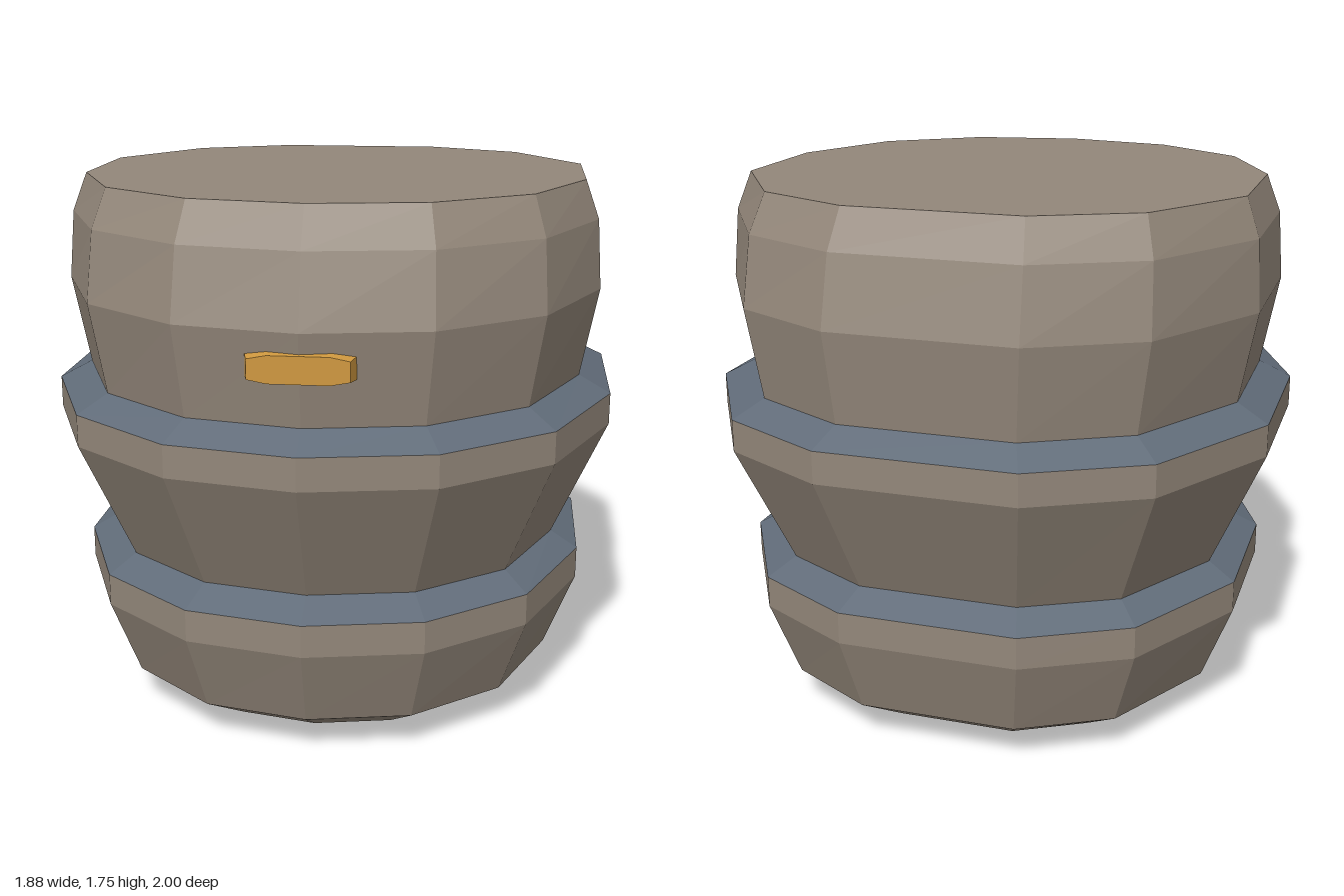
import * as THREE from 'three';

const wood = new THREE.MeshStandardMaterial({ color: 0x93877a });
wood.name = 'wood';
const iron = new THREE.MeshStandardMaterial({ color: 0x616c79 });
iron.name = 'iron';
const brass = new THREE.MeshStandardMaterial({ color: 0xcf983f });
brass.name = 'brass';

// Thirteen-sided outline as [x, z], counterclockwise from above, starting at the front
const half = [[0.41, 0.92], [0.75, 0.65], [0.94, 0.19], [0.94, -0.36], [0.68, -0.81], [0.32, -1]];
const outline = [[0, 1], ...half, ...half.map(([x, z]) => [-x, z]).reverse()];

// Ring of the body at height y: half width, front z and back z
function bodyRing([y, halfWidth, front, back]) {
  const mid = (front + back) / 2, depth = (front - back) / 2;
  return outline.map(([x, z]) => [x * halfWidth / 0.94, y, z * depth + mid]);
}

// Faceted skin through a list of rings, with optional end caps
function loft(name, rings, material, capStart = false, capEnd = false) {
  const p = [], n = rings[0].length;
  for (let r = 0; r < rings.length - 1; r++) {
    for (let i = 0; i < n; i++) {
      const j = (i + 1) % n, lo = rings[r], hi = rings[r + 1];
      p.push(...lo[i], ...lo[j], ...hi[j], ...lo[i], ...hi[j], ...hi[i]);
    }
  }
  const first = rings[0], last = rings[rings.length - 1];
  for (let i = 1; i < n - 1; i++) {
    if (capStart) p.push(...first[0], ...first[i + 1], ...first[i]);
    if (capEnd) p.push(...last[0], ...last[i], ...last[i + 1]);
  }
  const geometry = new THREE.BufferGeometry();
  geometry.setAttribute('position', new THREE.Float32BufferAttribute(p, 3));
  geometry.computeVertexNormals(); // unshared corners keep every facet flat
  const mesh = new THREE.Mesh(geometry, material);
  mesh.name = name;
  return mesh;
}

export function createModel() {
  const group = new THREE.Group();
  group.name = 'barrel';

  // y, half width, front z, back z
  const levels = [
    [0, 0.57, 0.62, -0.65],
    [0.125, 0.755, 0.83, -0.84],
    [0.385, 0.855, 0.925, -0.925],
    [0.49, 0.855, 0.925, -0.925],
    [0.54, 0.765, 0.805, -0.82],
    [0.945, 0.94, 1, -1],
    [1.05, 0.94, 1, -1],
    [1.105, 0.835, 0.89, -0.9],
    [1.4, 0.89, 0.935, -0.935],
    [1.625, 0.875, 0.87, -0.88],
    [1.75, 0.83, 0.79, -0.81],
  ].map(bodyRing);

  // Three stacked wooden sections with sloping ledges between them
  group.add(
    loft('lowerSection', levels.slice(0, 4), wood, true, false),
    loft('lowerLedge', levels.slice(3, 5), iron),
    loft('middleSection', levels.slice(4, 7), wood),
    loft('upperLedge', levels.slice(6, 8), iron),
    loft('upperSection', levels.slice(7), wood, false, true),
  );

  // Small eight-sided bar on the front, tapering slightly forward
  const bar = [[0.165, -0.035], [0.165, 0.035], [0.1, 0.048], [-0.1, 0.048],
    [-0.165, 0.035], [-0.165, -0.035], [-0.1, -0.048], [0.1, -0.048]];
  const barRing = (sx, sy, z) => bar.map(([x, y]) => [x * sx, 1.293 + y * sy, z]);
  group.add(loft('frontHandle', [barRing(1, 1, 0.885), barRing(0.92, 0.88, 0.94)], brass, true, true));

  return group;
}
